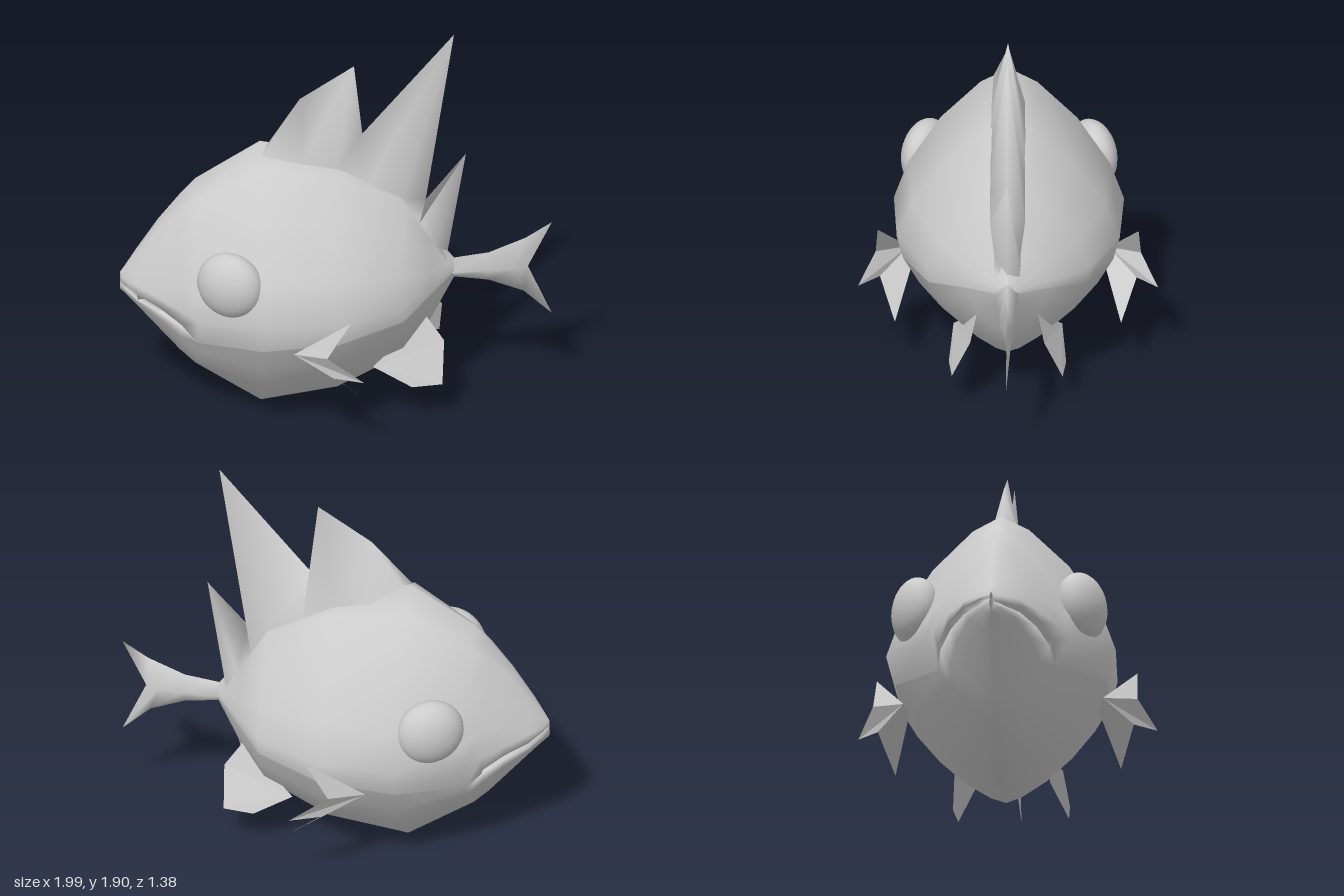
import * as THREE from 'three';

const grey = new THREE.MeshStandardMaterial({ color: 0xcccccc, side: THREE.DoubleSide });
const finGrey = new THREE.MeshStandardMaterial({ color: 0xcccccc, side: THREE.DoubleSide, flatShading: true });

function build(points, index) {
  const g = new THREE.BufferGeometry();
  g.setAttribute('position', new THREE.Float32BufferAttribute(points.flat(), 3));
  g.setIndex(index);
  g.computeVertexNormals();
  return g;
}

// Skin a list of equally long cross-sections; closed joins the last column to the first
function loft(rows, closed) {
  const n = rows[0].length, index = [];
  for (let i = 0; i < rows.length - 1; i++) {
    for (let j = 0; j < (closed ? n : n - 1); j++) {
      const k = (j + 1) % n;
      const a = i * n + j, b = i * n + k, c = b + n, d = a + n;
      index.push(a, b, d, b, c, d);
    }
  }
  return build(rows.flat(), index);
}

// Thin fin: triangles spreading from the first point
function fan(points) {
  const index = [];
  for (let i = 1; i < points.length - 1; i++) index.push(0, i, i + 1);
  return build(points, index);
}

// Rounded-diamond section: top to upper lip, mouth pocket, lower lip to bottom, then mirrored
function bodySection([x, top, bottom, w, c, lipTop, lipLow]) {
  const p = 1.43, steps = 5, half = [];
  const at = (a) => {
    const s = Math.sin(a), h = s > 0 ? top - c : c - bottom;
    return [x, c + h * Math.sign(s) * Math.abs(s) ** p, w * Math.max(0, Math.cos(a)) ** p];
  };
  const angle = (y) => {
    const s = (y - c) / (y > c ? top - c : c - bottom);
    return Math.asin(Math.sign(s) * Math.min(1, Math.abs(s)) ** (1 / p));
  };
  const q = Math.PI / 2, up = angle(lipTop), low = angle(lipLow);
  for (let i = 0; i <= steps; i++) half.push(at(q + (up - q) * i / steps));
  const open = lipTop - lipLow > 0.001;
  const mid = at((up + low) / 2);
  half.push([x, mid[1], mid[2] * (open ? 0.5 : 1)]);
  for (let i = 0; i <= steps; i++) half.push(at(low + (-q - low) * i / steps));
  const other = half.slice(1, -1).reverse().map(([a, b, z]) => [a, b, -z]);
  return [...half, ...other];
}

export function createModel() {
  const model = new THREE.Group();
  const add = (name, geometry, material = grey) => {
    const mesh = new THREE.Mesh(geometry, material);
    mesh.name = name;
    model.add(mesh);
    return mesh;
  };

  // Body: x, top, bottom, half width, height of widest point, upper lip, lower lip
  const sections = [
    [-0.995, 0.68, 0.59, 0.01, 0.64, 0.655, 0.625],
    [-0.975, 0.71, 0.57, 0.06, 0.64, 0.65, 0.62],
    [-0.92, 0.80, 0.51, 0.14, 0.63, 0.635, 0.605],
    [-0.82, 0.96, 0.39, 0.215, 0.62, 0.605, 0.575],
    [-0.72, 1.09, 0.27, 0.29, 0.62, 0.545, 0.52],
    [-0.65, 1.17, 0.20, 0.34, 0.62, 0.45, 0.45],
    [-0.35, 1.36, 0.005, 0.53, 0.66, 0.52, 0.52],
    [0, 1.29, 0.07, 0.515, 0.65, 0.55, 0.55],
    [0.3, 1.13, 0.23, 0.38, 0.66, 0.6, 0.6],
    [0.43, 0.87, 0.41, 0.2, 0.67, 0.65, 0.65],
    [0.54, 0.73, 0.63, 0.04, 0.68, 0.68, 0.68],
  ];
  add('body', loft(sections.map(bodySection), true));

  // Tail: top edge, side ridge (x, half width), bottom edge
  const tail = [
    [[0.5, 0.76], [0.5, 0.06], [0.5, 0.58]],
    [[0.54, 0.73], [0.54, 0.05], [0.54, 0.63]],
    [[0.7, 0.755], [0.7, 0.04], [0.7, 0.61]],
    [[0.87, 0.83], [0.82, 0.03], [0.86, 0.55]],
    [[0.99, 0.91], [0.88, 0], [0.99, 0.43]],
  ];
  add('tailFin', loft(tail.map(([t, m, b]) => [
    [...t, 0], [m[0], 0.68, m[1]], [...b, 0], [m[0], 0.68, -m[1]],
  ]), true));

  // Spiky back fin: crest point and base point of each rib
  const ribs = [
    [[-0.34, 1.31], [-0.37, 1.29]],
    [[-0.17, 1.58], [-0.17, 1.27]],
    [[0.08, 1.75], [0, 1.24]],
    [[0.1, 1.37], [0.14, 1.17]],
    [[0.54, 1.91], [0.3, 1.09]],
    [[0.41, 1.04], [0.38, 0.96]],
    [[0.595, 1.28], [0.45, 0.83]],
    [[0.51, 0.76], [0.5, 0.75]],
  ];
  add('backFin', loft(ribs.map(([t, b], i) => {
    const w = i < 6 ? 0.08 : 0.06;
    return [[...b, -w], [...t, 0], [...b, w]];
  }), false));

  // Paired parts
  for (const [side, s] of [['left', 1], ['right', -1]]) {
    const mirror = (pts) => pts.map(([x, y, z]) => [x, y, z * s]);

    const eye = add(side === 'left' ? 'eyeFront' : 'eyeBack', new THREE.SphereGeometry(0.16, 24, 16));
    eye.scale.z = 0.63;
    eye.position.set(-0.5, 0.82, 0.385 * s);
    eye.rotation.y = -0.43 * s;

    add(side === 'left' ? 'sideFinFront' : 'sideFinBack', fan(mirror([
      [-0.21, 0.49, 0.46], [0.05, 0.73, 0.6], [-0.06, 0.55, 0.61], [0.11, 0.465, 0.69],
      [-0.03, 0.435, 0.59], [0.13, 0.285, 0.52], [-0.19, 0.46, 0.43],
    ])), finGrey);

    add(side === 'left' ? 'bellyFinFront' : 'bellyFinBack', fan(mirror([
      [0.16, 0.3, 0.25], [0.34, 0.2, 0.27], [0.48, 0.205, 0.255], [0.49, 0.39, 0.17], [0.41, 0.5, 0.14],
    ])), finGrey);
  }
  return model;
}
